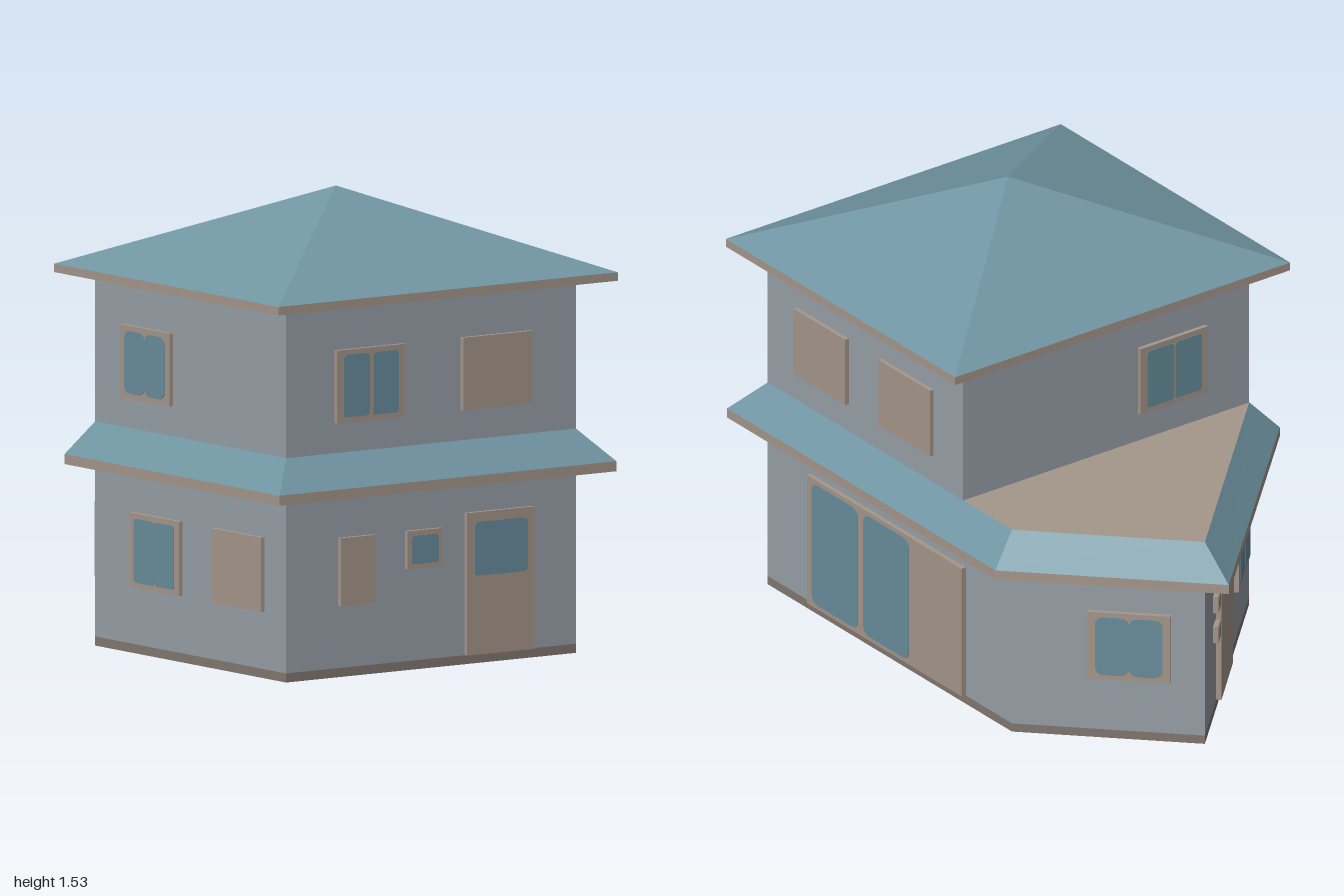
import * as THREE from 'three';

const mat = (name, color) => new THREE.MeshStandardMaterial({ name, color });

export function createModel() {
  const house = new THREE.Group();
  house.name = 'house';
  const wall = mat('wallGrey', 0x979fa6);
  const trim = mat('trimBeige', 0xa5968b);
  const roof = mat('roofBlue', 0x7095a2);
  const glass = mat('glassBlue', 0x688d9c);
  const base = mat('plinthBrown', 0x82776f);
  const dark = mat('fittingGrey', 0x75777d);

  const add = (parent, name, geometry, material) => {
    const mesh = new THREE.Mesh(geometry, material);
    mesh.name = name;
    parent.add(mesh);
    return mesh;
  };

  // Outlines are [x, z], counter-clockwise seen from above
  const ground = [[0.905, 0.585], [0.905, -0.585], [-0.42, -0.585], [-0.87, -0.135], [-0.155, 0.585]];
  const eaves = [[1, 0.68], [1, -0.68], [-0.457, -0.68], [-1, -0.135], [-0.195, 0.68]];
  const upper = [[0.905, 0.585], [0.905, -0.585], [-0.155, -0.585], [-0.155, 0.585]];
  const upperEaves = [[1, 0.685], [1, -0.685], [-0.245, -0.685], [-0.245, 0.685]];

  // Upright block over an outline
  const prism = (outline, y0, y1) => {
    const shape = new THREE.Shape(outline.map(([x, z]) => new THREE.Vector2(x, -z)));
    return new THREE.ExtrudeGeometry(shape, { depth: y1 - y0, bevelEnabled: false })
      .rotateX(-Math.PI / 2).translate(0, y0, 0);
  };

  // Sloping faces from a lower outline to an upper one (or to a repeated apex)
  const slopes = (low, y0, high, y1) => {
    const p = [];
    low.forEach(([ax, az], i) => {
      const j = (i + 1) % low.length;
      const [bx, bz] = low[j], [cx, cz] = high[j], [dx, dz] = high[i];
      p.push(ax, y0, az, bx, y0, bz, cx, y1, cz);
      if (cx !== dx || cz !== dz) p.push(ax, y0, az, cx, y1, cz, dx, y1, dz);
    });
    const g = new THREE.BufferGeometry();
    g.setAttribute('position', new THREE.Float32BufferAttribute(p, 3));
    g.computeVertexNormals();
    return g;
  };

  // Storeys
  add(house, 'plinth', prism(ground, 0, 0.03), base);
  add(house, 'groundFloorWalls', prism(ground, 0.03, 0.605), wall);
  add(house, 'upperFloorWalls', prism(upper, 0.735, 1.235), wall);

  // Skirt roof with a flat terrace on top
  add(house, 'lowerFascia', prism(eaves, 0.602, 0.635), trim);
  add(house, 'skirtRoof', slopes(eaves, 0.635, ground, 0.74), roof);
  add(house, 'flatRoof', prism(ground, 0.71, 0.739), trim);

  // Pyramid roof
  add(house, 'upperFascia', prism(upperEaves, 1.23, 1.258), trim);
  add(house, 'pyramidRoof', slopes(upperEaves, 1.258, upperEaves.map(() => [0.377, 0]), 1.53), roof);

  // A wall group: local x runs right along the wall, local z points out of it
  const wallSide = (name, x, z, angle) => {
    const g = new THREE.Group();
    g.name = name;
    g.position.set(x, 0, z);
    g.rotation.y = angle;
    house.add(g);
    return g;
  };

  const D = 0.015;
  const panel = (side, name, x0, x1, y0, y1, material = trim, depth = D) =>
    add(side, name, new THREE.BoxGeometry(x1 - x0, y1 - y0, depth + 0.005)
      .translate((x0 + x1) / 2, (y0 + y1) / 2, depth / 2 - 0.0025), material);

  // Thin pane with rounded corners, laid on a panel
  const pane = (side, x0, x1, y0, y1, r = 0.02, material = glass, name = 'pane') => {
    const s = new THREE.Shape();
    s.moveTo(x0 + r, y0);
    s.lineTo(x1 - r, y0); s.quadraticCurveTo(x1, y0, x1, y0 + r);
    s.lineTo(x1, y1 - r); s.quadraticCurveTo(x1, y1, x1 - r, y1);
    s.lineTo(x0 + r, y1); s.quadraticCurveTo(x0, y1, x0, y1 - r);
    s.lineTo(x0, y0 + r); s.quadraticCurveTo(x0, y0, x0 + r, y0);
    add(side, name, new THREE.ExtrudeGeometry(s, { depth: 0.002, bevelEnabled: false, curveSegments: 5 })
      .translate(0, 0, D), material);
  };

  // Framed window with two panes; a negative gap merges them into one notched pane
  const window2 = (side, x0, x1, y0, y1, gap, mx = 0.026, my = 0.017) => {
    panel(side, 'windowFrame', x0, x1, y0, y1);
    const m = (x0 + x1) / 2, r = gap > 0 ? 0.014 : 0.032;
    pane(side, x0 + mx, m - gap / 2, y0 + my, y1 - my, r);
    pane(side, m + gap / 2, x1 - mx, y0 + my, y1 - my, r);
    if (gap <= 0) pane(side, m - 0.025, m + 0.025, y0 + my + 0.018, y1 - my - 0.018, 0.008);
  };

  const front = wallSide('frontWallDetails', 0, 0.585, 0);
  window2(front, 0.055, 0.33, 0.22, 0.465, 0.005);
  panel(front, 'shutter', 0.51, 0.785, 0.22, 0.465);
  window2(front, 0.002, 0.278, 0.84, 1.08, 0);

  const left = wallSide('leftWallDetails', 0.905, 0, Math.PI / 2);
  window2(left, -0.39, -0.115, 0.84, 1.08, 0.014);
  panel(left, 'shutter', 0.12, 0.398, 0.84, 1.08);
  panel(left, 'shutter', -0.375, -0.235, 0.235, 0.46);
  panel(left, 'smallWindowFrame', -0.105, 0.035, 0.335, 0.46);
  pane(left, -0.09, 0.02, 0.35, 0.443, 0.014);
  panel(left, 'sideDoor', 0.135, 0.41, 0.03, 0.5);
  pane(left, 0.165, 0.38, 0.29, 0.468, 0.02);

  const back = wallSide('backWallDetails', 0, -0.585, Math.PI);
  for (const x of [-0.745, -0.285]) panel(back, 'shutter', x, x + 0.28, 0.84, 1.08);
  panel(back, 'patioDoorFrame', -0.672, 0.17, 0.03, 0.5);
  pane(back, -0.645, -0.395, 0.045, 0.485, 0.035);
  pane(back, -0.365, -0.118, 0.045, 0.485, 0.035);
  panel(back, 'patioDoorPanel', -0.1, 0.17, 0.032, 0.498, trim, 0.017);

  const right = wallSide('rightWallDetails', -0.155, 0, -Math.PI / 2);
  window2(right, 0.13, 0.405, 0.84, 1.08, 0.005);

  // Angled entrance wall
  const entry = wallSide('entranceWallDetails', -0.155, 0.585, -Math.PI / 4);
  panel(entry, 'frontDoor', -0.757, -0.482, 0.032, 0.5);
  pane(entry, -0.647, -0.595, 0.385, 0.42, 0.012, dark, 'doorKnocker');
  pane(entry, -0.65, -0.592, 0.358, 0.386, 0.008, dark, 'doorKnocker');
  window2(entry, -0.35, -0.075, 0.22, 0.465, 0.005);
  for (const y of [0.275, 0.385]) {
    panel(entry, 'entranceBox', -0.828, -0.774, y, y + 0.06);
    pane(entry, -0.82, -0.79, y + 0.008, y + 0.052, 0.006, dark, 'entranceBoxFace');
  }

  const backAngle = wallSide('rearAngledWallDetails', -0.42, -0.585, -Math.PI * 3 / 4);
  window2(backAngle, 0.25, 0.525, 0.22, 0.465, 0);

  return house;
}
